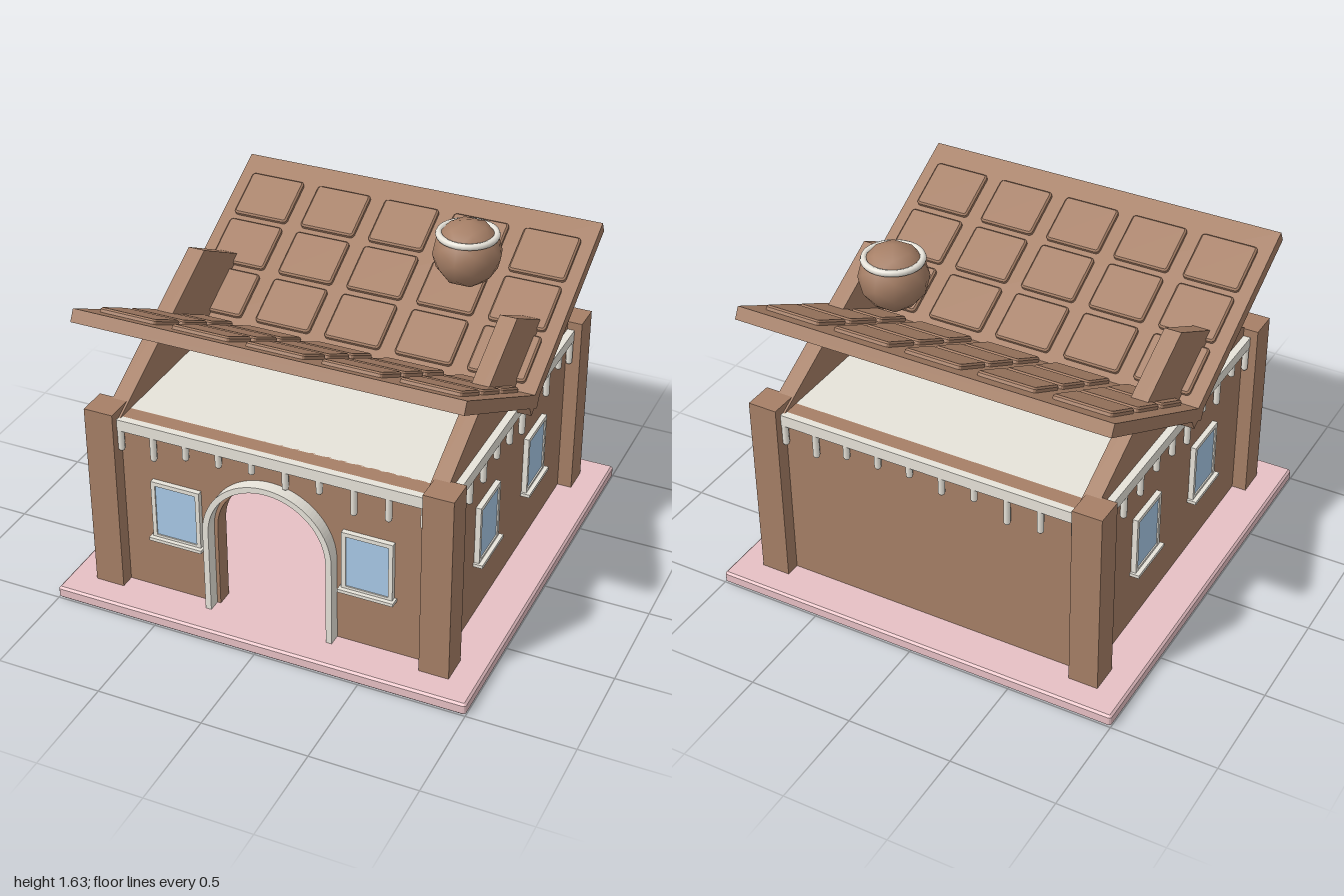
import * as THREE from 'three';

const mat = (name, color) => {
  const m = new THREE.MeshStandardMaterial({ color });
  m.name = name;
  return m;
};

export function createModel() {
  const gingerbread = mat('gingerbread', 0xa67f66);
  const icing = mat('icing', 0xf0ece2);
  const pink = mat('pinkBoard', 0xf0c8cc);
  const glass = mat('sugarGlass', 0xabcdeb);
  const model = new THREE.Group();
  model.name = 'gingerbreadHouse';

  const add = (parent, name, geometry, material, x = 0, y = 0, z = 0) => {
    const mesh = new THREE.Mesh(geometry, material);
    mesh.name = name;
    mesh.position.set(x, y, z);
    parent.add(mesh);
    return mesh;
  };
  const box = (parent, name, material, w, h, d, x, y, z) =>
    add(parent, name, new THREE.BoxGeometry(w, h, d), material, x, y, z);

  // Flat slab lying on y = 0 with rounded corners and bevelled edges
  const slab = (w, d, height, corner, bevel) => {
    const a = w / 2 - bevel, b = d / 2 - bevel, r = corner;
    const s = new THREE.Shape();
    s.moveTo(-a + r, -b);
    s.lineTo(a - r, -b);
    s.quadraticCurveTo(a, -b, a, -b + r);
    s.lineTo(a, b - r);
    s.quadraticCurveTo(a, b, a - r, b);
    s.lineTo(-a + r, b);
    s.quadraticCurveTo(-a, b, -a, b - r);
    s.lineTo(-a, -b + r);
    s.quadraticCurveTo(-a, -b, -a + r, -b);
    const g = new THREE.ExtrudeGeometry(s, {
      depth: height - 2 * bevel, bevelEnabled: true, bevelSize: bevel,
      bevelThickness: bevel, bevelSegments: 1, curveSegments: 3,
    });
    return g.translate(0, 0, bevel).rotateX(-Math.PI / 2);
  };
  const extrude = (shape, depth) =>
    new THREE.ExtrudeGeometry(shape, { depth, bevelEnabled: false, curveSegments: 24 });

  // Base board
  add(model, 'baseBoard', slab(2, 2, 0.06, 0.005, 0.01), pink);

  // Corner posts and ceiling
  for (const x of [-0.8, 0.8])
    for (const z of [-0.8, 0.8])
      box(model, 'cornerPost', gingerbread, 0.14, 0.92, 0.14, x, 0.52, z);
  box(model, 'ceiling', icing, 1.45, 0.02, 1.45, 0, 0.93, 0);

  // Window with frame, pane and sill on a wall facing +z
  const addWindow = (wall, x) => {
    const w = new THREE.Group();
    w.name = 'window';
    w.position.set(x, 0.5, 0.8);
    for (const s of [-1, 1]) {
      box(w, 'frameSide', icing, 0.02, 0.3, 0.03, s * 0.11, 0, 0.01);
      box(w, 'frameRail', icing, 0.2, 0.02, 0.03, 0, s * 0.14, 0.01);
    }
    box(w, 'pane', glass, 0.2, 0.26, 0.009, 0, 0, 0.0145);
    box(w, 'sill', icing, 0.262, 0.016, 0.05, 0, -0.15, 0.02);
    wall.add(w);
  };

  // Icing band with hanging drips
  const addIcing = (wall, dripEnds) => {
    box(wall, 'icingBand', icing, 1.46, 0.055, 0.035, 0, 0.9125, 0.8175);
    dripEnds.forEach((end, i) => {
      const r = 0.016, length = 0.9 - end;
      add(wall, 'icingDrip', new THREE.CapsuleGeometry(r, length - 2 * r, 3, 8), icing,
        -0.72 + i * 0.16, end + length / 2, 0.82);
    });
  };

  // Four walls, each built facing +z and turned into place
  const frontDrips = [0.775, 0.76, 0.807, 0.813, 0.824, 0.79, 0.813, 0.75, 0.765, 0.775];
  const sideDrips = [0.775, 0.765, 0.775, 0.80, 0.78, 0.74, 0.818, 0.76, 0.818, 0.76];
  const walls = [
    { name: 'frontWall', door: true, windows: [-0.463, 0.463], drips: frontDrips },
    { name: 'leftWall', gable: true, windows: [-0.3, 0.3], drips: sideDrips },
    { name: 'backWall', windows: [], drips: frontDrips },
    { name: 'rightWall', gable: true, windows: [-0.3, 0.3], drips: sideDrips },
  ];
  walls.forEach((def, i) => {
    const wall = new THREE.Group();
    wall.name = def.name;
    wall.rotation.y = i * Math.PI / 2;
    model.add(wall);

    const s = new THREE.Shape();
    s.moveTo(-0.75, 0.06);
    if (def.door) {
      s.lineTo(-0.267, 0.06);
      s.lineTo(-0.267, 0.48);
      s.absarc(0, 0.48, 0.267, Math.PI, 0, true);
      s.lineTo(0.267, 0.06);
    }
    s.lineTo(0.75, 0.06);
    s.lineTo(0.75, 0.94);
    s.lineTo(-0.75, 0.94);
    s.closePath();
    add(wall, 'wallPanel', extrude(s, 0.08), gingerbread, 0, 0, 0.72);

    if (def.gable) {
      const g = new THREE.Shape();
      g.moveTo(-0.815, 0.94);
      g.lineTo(0.815, 0.94);
      g.lineTo(0, 1.375);
      g.closePath();
      add(wall, 'gable', extrude(g, 0.08), gingerbread, 0, 0, 0.72);
    }
    if (def.door) {
      const a = new THREE.Shape();
      a.moveTo(-0.312, 0.06);
      a.lineTo(-0.284, 0.06);
      a.lineTo(-0.284, 0.48);
      a.absarc(0, 0.48, 0.284, Math.PI, 0, true);
      a.lineTo(0.284, 0.06);
      a.lineTo(0.312, 0.06);
      a.lineTo(0.312, 0.48);
      a.absarc(0, 0.48, 0.312, 0, Math.PI, false);
      a.closePath();
      add(wall, 'doorArch', extrude(a, 0.06), icing, 0, 0, 0.8);
    }
    def.windows.forEach((x) => addWindow(wall, x));
    addIcing(wall, def.drips);
  });

  // Two roof panels rising outwards, each with a grid of tiles
  const tile = slab(0.275, 0.245, 0.03, 0.012, 0.008);
  for (const side of [1, -1]) {
    const roof = new THREE.Group();
    roof.name = side > 0 ? 'frontRoof' : 'backRoof';
    roof.position.set(0, 1.194, side * 0.405);
    roof.rotation.x = -side * Math.atan(0.534);
    box(roof, 'roofPanel', gingerbread, 1.8, 0.06, 1.03, 0, 0, 0);
    for (let c = -2; c <= 2; c++)
      for (let r = -1; r <= 1; r++)
        add(roof, 'roofTile', tile, gingerbread, c * 0.35, 0.022, r * 0.278);
    model.add(roof);
  }

  // Faceted chimney ball with an icing ring
  const chimney = new THREE.Group();
  chimney.name = 'chimney';
  chimney.position.set(0.44, 1.467, -0.32);
  add(chimney, 'chimneyBall', new THREE.IcosahedronGeometry(0.16, 1), gingerbread);
  add(chimney, 'chimneyRing', new THREE.TorusGeometry(0.13, 0.016, 8, 28).rotateX(Math.PI / 2),
    icing, 0, 0.09, 0);
  model.add(chimney);

  return model;
}
